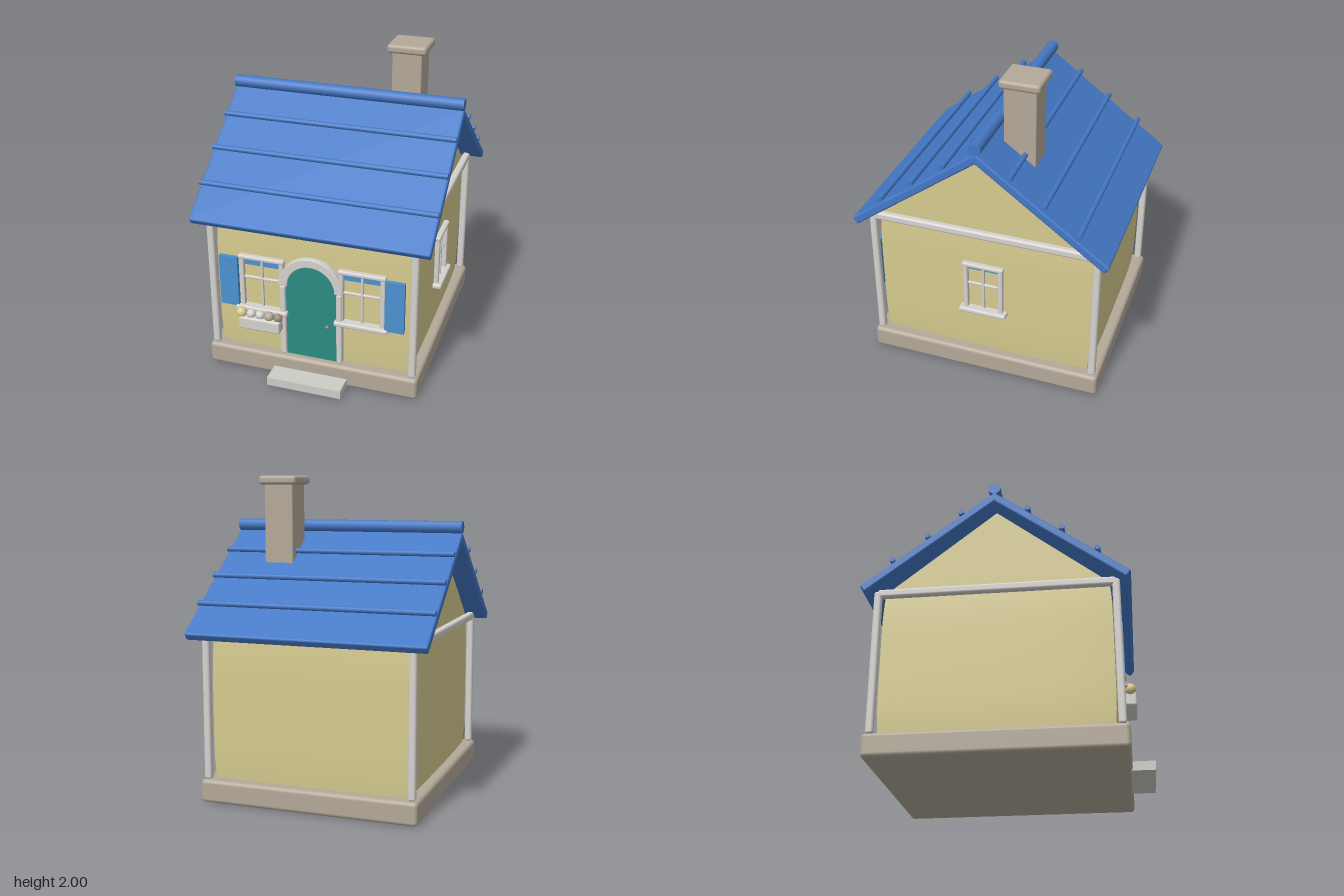
import * as THREE from 'three';
import { RoundedBoxGeometry } from 'three/addons/geometries/RoundedBoxGeometry.js';

const mat = (name, color) => Object.assign(new THREE.MeshStandardMaterial({ color }), { name });

export function createModel() {
  const wall = mat('cream wall', 0xd6cb90);
  const roof = mat('blue roof', 0x4478c6);
  const stone = mat('warm stone', 0xb3a999);
  const trim = mat('pale trim', 0xd5d2ce);
  const teal = mat('teal door', 0x2b8c82);
  const sky = mat('light blue', 0x4b92d2);
  const slab = mat('grey step', 0xcbccc6);
  const brass = mat('dull brass', 0x9a8f7c);

  const root = new THREE.Group();
  root.name = 'cottage';
  // everything is symmetric about the ridge, which sits slightly behind the origin
  const house = new THREE.Group();
  house.name = 'house';
  house.position.z = -0.04;
  root.add(house);

  const add = (parent, name, geo, material, x = 0, y = 0, z = 0) => {
    const m = new THREE.Mesh(geo, material);
    m.name = name;
    m.position.set(x, y, z);
    parent.add(m);
    return m;
  };
  const rbox = (w, h, d, r = 0.01) => new RoundedBoxGeometry(w, h, d, 3, Math.min(r, w / 2.01, h / 2.01, d / 2.01));
  const box = (w, h, d) => new THREE.BoxGeometry(w, h, d);

  // foundation and door step
  add(house, 'foundation', rbox(1.385, 0.145, 1.52, 0.025), stone, 0, 0.0725, 0);
  add(house, 'doorStep', box(0.485, 0.056, 0.16), slab, 0, 0.032, 0.815);

  // softly bulging walls
  const W = 0.637, H = 0.45, D = 0.7;
  const body = new THREE.BoxGeometry(2 * W, 2 * H, 2 * D, 16, 16, 16);
  const p = body.attributes.position;
  for (let i = 0; i < p.count; i++) {
    const a = p.getX(i) / W, b = p.getY(i) / H, c = p.getZ(i) / D;
    p.setX(i, W * a * (1 - 0.014 * (b ** 4 + c ** 4)));
    p.setZ(i, D * c * (1 - 0.014 * (b ** 4 + a ** 4)));
  }
  body.computeVertexNormals();
  add(house, 'walls', body, wall, 0, 0.59, 0);

  // gable prism running the length of the attic
  const tri = new THREE.Shape();
  tri.moveTo(-0.675, 1.035);
  tri.lineTo(0.675, 1.035);
  tri.quadraticCurveTo(0.655, 1.075, 0.6, 1.115);
  tri.lineTo(0, 1.585);
  tri.lineTo(-0.6, 1.115);
  tri.quadraticCurveTo(-0.655, 1.075, -0.675, 1.035);
  const gable = new THREE.ExtrudeGeometry(tri, { depth: 1.25, bevelEnabled: false });
  gable.translate(0, 0, -0.625);
  gable.rotateY(Math.PI / 2);
  add(house, 'gables', gable, wall);

  // corner posts and side beams
  for (const sx of [-1, 1]) {
    for (const sz of [-1, 1]) {
      add(house, 'cornerPost', rbox(0.047, 0.91, 0.047, 0.015), trim, sx * 0.652, 0.6, sz * 0.718);
    }
    add(house, 'sideBeam', rbox(0.047, 0.052, 1.44, 0.015), trim, sx * 0.652, 1.04, 0);
  }

  // roof: one slope with battens, turned round for the back
  const pitch = 0.636, ridgeY = 1.655, sin = Math.sin(pitch), cos = Math.cos(pitch);
  for (const turn of [0, Math.PI]) {
    const slope = new THREE.Group();
    slope.name = turn ? 'backRoof' : 'frontRoof';
    slope.rotation.y = turn;
    house.add(slope);
    const s = add(slope, 'roofSlab', rbox(1.512, 0.053, 1.01, 0.012), roof, 0,
      ridgeY - sin * 0.505 - cos * 0.0265, cos * 0.505 - sin * 0.0265);
    s.rotation.x = pitch;
    for (const z of [0.205, 0.41, 0.62]) {
      const b = add(slope, 'batten', new THREE.CylinderGeometry(0.017, 0.017, 1.51, 10), roof,
        0, ridgeY - z * sin / cos + 0.026, z);
      b.rotation.z = Math.PI / 2;
    }
  }
  add(house, 'ridgeCap', new THREE.CylinderGeometry(0.039, 0.039, 1.51, 10), roof, 0, 1.683, 0)
    .rotation.z = Math.PI / 2;

  // chimney
  add(house, 'chimney', rbox(0.19, 0.55, 0.2, 0.008), stone, 0.365, 1.685, -0.17);
  add(house, 'chimneyCap', rbox(0.252, 0.055, 0.252, 0.02), stone, 0.365, 1.9725, -0.172);

  // arched door
  const door = new THREE.Shape();
  door.moveTo(-0.165, 0.15);
  door.lineTo(0.165, 0.15);
  door.lineTo(0.165, 0.64);
  door.absarc(0, 0.64, 0.165, 0, Math.PI, false);
  const doorGeo = new THREE.ExtrudeGeometry(door, { depth: 0.05, bevelEnabled: false, curveSegments: 10 });
  add(house, 'door', doorGeo, teal, 0, 0, 0.67);
  for (const s of [-1, 1]) {
    add(house, 'doorPost', rbox(0.038, 0.5, 0.05, 0.012), trim, s * 0.184, 0.4, 0.715);
  }
  const band = new THREE.Shape();
  band.absarc(0, 0.65, 0.205, 0, Math.PI, false);
  band.absarc(0, 0.65, 0.158, Math.PI, 0, true);
  add(house, 'doorArch', new THREE.ExtrudeGeometry(band, {
    depth: 0.03, bevelEnabled: true, bevelSize: 0.004, bevelThickness: 0.006, bevelSegments: 2, curveSegments: 12,
  }), trim, 0, 0, 0.7);
  add(house, 'doorKnob', new THREE.SphereGeometry(0.012, 10, 8), brass, 0.105, 0.4, 0.73);

  // windows, built facing +z with the wall surface at z = 0
  const makeWindow = (name, w, sillY, paneH) => {
    const g = new THREE.Group();
    g.name = name;
    const h = 0.8 - sillY, mid = (0.8 + sillY) / 2;
    for (const s of [-1, 1]) add(g, 'sideFrame', rbox(0.032, h, 0.035), trim, s * (w / 2 - 0.018), mid, 0.012);
    add(g, 'topFrame', rbox(w + 0.005, 0.028, 0.04), trim, 0, 0.803, 0.014);
    add(g, 'sill', rbox(w + 0.045, 0.034, 0.07, 0.012), trim, 0, sillY - 0.007, 0.02);
    add(g, 'uprightBar', rbox(0.016, h, 0.02, 0.006), trim, 0, mid, 0.008);
    add(g, 'crossBar', rbox(w - 0.04, 0.016, 0.02, 0.006), trim, 0, 0.66, 0.008);
    add(g, 'glass', box(w - 0.06, paneH, 0.008), sky, 0, 0.792 - paneH / 2, 0.001);
    house.add(g);
    return g;
  };
  for (const s of [-1, 1]) {
    makeWindow('frontWindow', 0.3, 0.455, 0.048).position.set(s * 0.325, 0, 0.7);
    add(house, 'shutter', box(0.122, 0.345, 0.025), sky, s * 0.537, 0.628, 0.732);
  }
  const side = makeWindow('sideWindow', 0.265, 0.47, 0.03);
  side.position.x = 0.638;
  side.rotation.y = Math.PI / 2;

  // flower box under the window on the model's right
  add(house, 'flowerBox', rbox(0.275, 0.085, 0.075, 0.012), trim, -0.323, 0.372, 0.767);
  [[-0.45, 0.036, wall], [-0.385, 0.03, trim], [-0.325, 0.03, trim], [-0.265, 0.032, stone], [-0.205, 0.028, brass]]
    .forEach(([x, r, m]) => add(house, 'flower', new THREE.SphereGeometry(r, 14, 10), m, x, 0.43, 0.768));

  return root;
}
